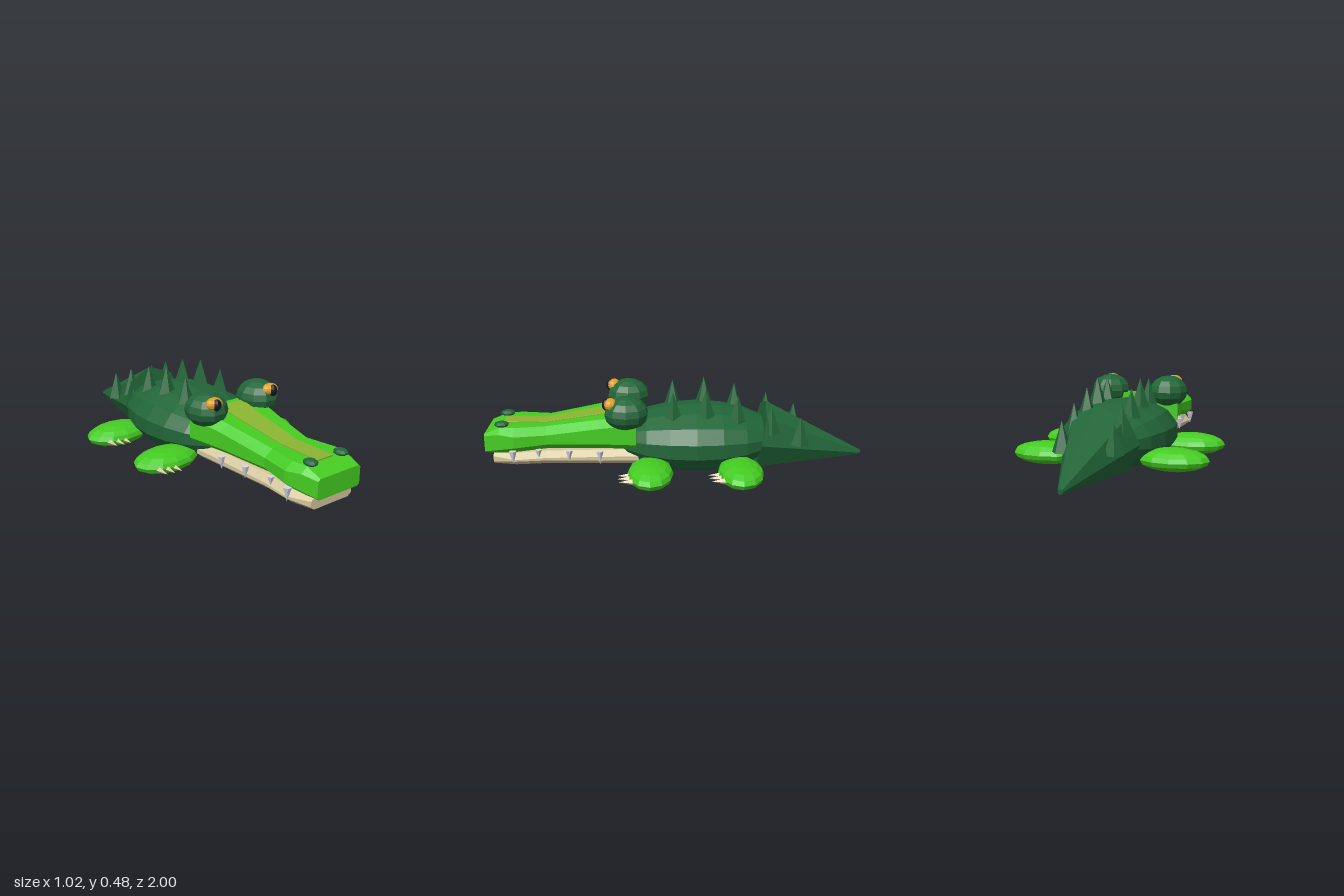
import * as THREE from 'three';

const material = (name, color) =>
  new THREE.MeshStandardMaterial({ name, color, flatShading: true });

// Closed loft through bevelled boxes: [z, halfWidth, yBottom, yTop, bevel], front to back
function loft(sections) {
  const rings = sections.map(([z, w, y0, y1, b]) => [
    [w - b, y0], [w, y0 + b * 0.8], [w, y1 - b * 0.8], [w - b, y1],
    [b - w, y1], [-w, y1 - b * 0.8], [-w, y0 + b * 0.8], [b - w, y0],
  ].map(([x, y]) => [x, y, z]));
  const n = 8, pos = [];
  const tri = (...points) => points.forEach((p) => pos.push(...p));
  for (let i = 0; i < rings.length - 1; i++) {
    for (let j = 0; j < n; j++) {
      const k = (j + 1) % n, f = rings[i], r = rings[i + 1];
      tri(f[j], r[j], f[k]);
      tri(f[k], r[j], r[k]);
    }
  }
  const front = rings[0], back = rings[rings.length - 1];
  for (let j = 1; j < n - 1; j++) {
    tri(front[0], front[j], front[j + 1]);
    tri(back[0], back[j + 1], back[j]);
  }
  const geo = new THREE.BufferGeometry();
  geo.setAttribute('position', new THREE.Float32BufferAttribute(pos, 3));
  geo.computeVertexNormals();
  return geo;
}

export function createModel() {
  const model = new THREE.Group();
  model.name = 'crocodile';

  const darkGreen = material('darkGreen', 0x226639);
  const brightGreen = material('brightGreen', 0x45cc22);
  const olive = material('oliveStripe', 0x8ab532);
  const tan = material('tan', 0xd4c69e);
  const toothGrey = material('toothGrey', 0xd8d6de);
  const amber = material('amber', 0xdda022);
  const black = material('black', 0x15151f);

  const add = (name, geo, mat, [x, y, z], rotX = 0) => {
    const mesh = new THREE.Mesh(geo, mat);
    mesh.name = name;
    mesh.position.set(x, y, z);
    mesh.rotation.x = rotX;
    model.add(mesh);
    return mesh;
  };
  const ball = (rx, ry, rz, w = 10, h = 8) =>
    new THREE.SphereGeometry(1, w, h).scale(rx, ry, rz);

  // Body, with its poles along z
  const body = new THREE.SphereGeometry(1, 14, 10)
    .rotateX(Math.PI / 2).rotateZ(Math.PI / 2).scale(0.292, 0.175, 0.44);
  add('body', body, darkGreen, [0, 0.195, -0.1]);

  // Tail
  add('tail', new THREE.CylinderGeometry(0.013, 0.192, 0.57, 8), darkGreen,
    [0, 0.141, -0.718], -Math.PI / 2 - 0.19);

  // Upper snout and lower jaw
  add('snout', loft([
    [1.0, 0.135, 0.15, 0.252, 0.012],
    [0.92, 0.16, 0.147, 0.285, 0.035],
    [0.84, 0.182, 0.155, 0.287, 0.045],
    [0.68, 0.156, 0.165, 0.287, 0.045],
    [0.4, 0.192, 0.178, 0.333, 0.045],
    [0.21, 0.23, 0.185, 0.365, 0.045],
  ]), brightGreen, [0, 0, 0]);
  add('lowerJaw', loft([
    [0.96, 0.13, 0.085, 0.145, 0.02],
    [0.84, 0.17, 0.085, 0.15, 0.035],
    [0.68, 0.155, 0.085, 0.155, 0.035],
    [0.4, 0.165, 0.085, 0.162, 0.035],
    [0.2, 0.18, 0.09, 0.17, 0.035],
  ]), tan, [0, 0, 0]);

  // Stripe along the top of the snout
  add('snoutStripe', loft([
    [0.91, 0.05, 0.285, 0.292, 0.001],
    [0.68, 0.048, 0.286, 0.293, 0.001],
    [0.4, 0.066, 0.332, 0.339, 0.001],
    [0.25, 0.077, 0.36, 0.369, 0.001],
  ]), olive, [0, 0, 0]);

  for (const [side, s] of [['left', 1], ['right', -1]]) {
    // Eyes and nostrils
    add(side + 'EyeSocket', ball(0.107, 0.087, 0.115), darkGreen, [s * 0.168, 0.374, 0.26]);
    add(side + 'Iris', ball(0.047, 0.032, 0.036), amber, [s * 0.182, 0.425, 0.339]);
    add(side + 'Pupil', ball(0.024, 0.03, 0.022), black, [s * 0.183, 0.424, 0.36]);
    add(side + 'Nostril', ball(0.032, 0.017, 0.038), darkGreen, [s * 0.097, 0.295, 0.912]);

    // Teeth, pointing down: [x, z, length, radius]
    const teeth = [[0.172, 0.85, 0.07, 0.021], [0.152, 0.72, 0.045, 0.018],
      [0.168, 0.56, 0.065, 0.019], [0.182, 0.4, 0.07, 0.019]];
    for (const [x, z, h, r] of teeth) {
      add(side + 'Tooth', new THREE.ConeGeometry(r, h, 5), toothGrey,
        [s * x, 0.172 - h / 2, z], Math.PI);
    }

    // Back spikes: [x, tip height, z]
    const spikes = [[0.115, 0.47, 0.02], [0.115, 0.485, -0.15], [0.115, 0.45, -0.315],
      [0.12, 0.395, -0.49], [0.125, 0.332, -0.645]];
    for (const [x, tip, z] of spikes) {
      add(side + 'BackSpike', new THREE.ConeGeometry(0.05, 0.15, 5), darkGreen,
        [s * x, tip - 0.075, z]).rotation.y = s * 0.3;
    }

    // Legs with three forward claws each
    for (const [end, z] of [['Front', 0.138], ['Hind', -0.316]]) {
      add(side + end + 'Leg', ball(0.18, 0.058, 0.116, 12, 8), brightGreen, [s * 0.33, 0.108, z]);
      for (const [x, dz] of [[0.35, 0.122], [0.39, 0.122], [0.43, 0.112]]) {
        add(side + end + 'Claw', new THREE.ConeGeometry(0.02, 0.085, 4), tan,
          [s * x, 0.104, z + dz], Math.PI / 2);
      }
    }
  }
  return model;
}
